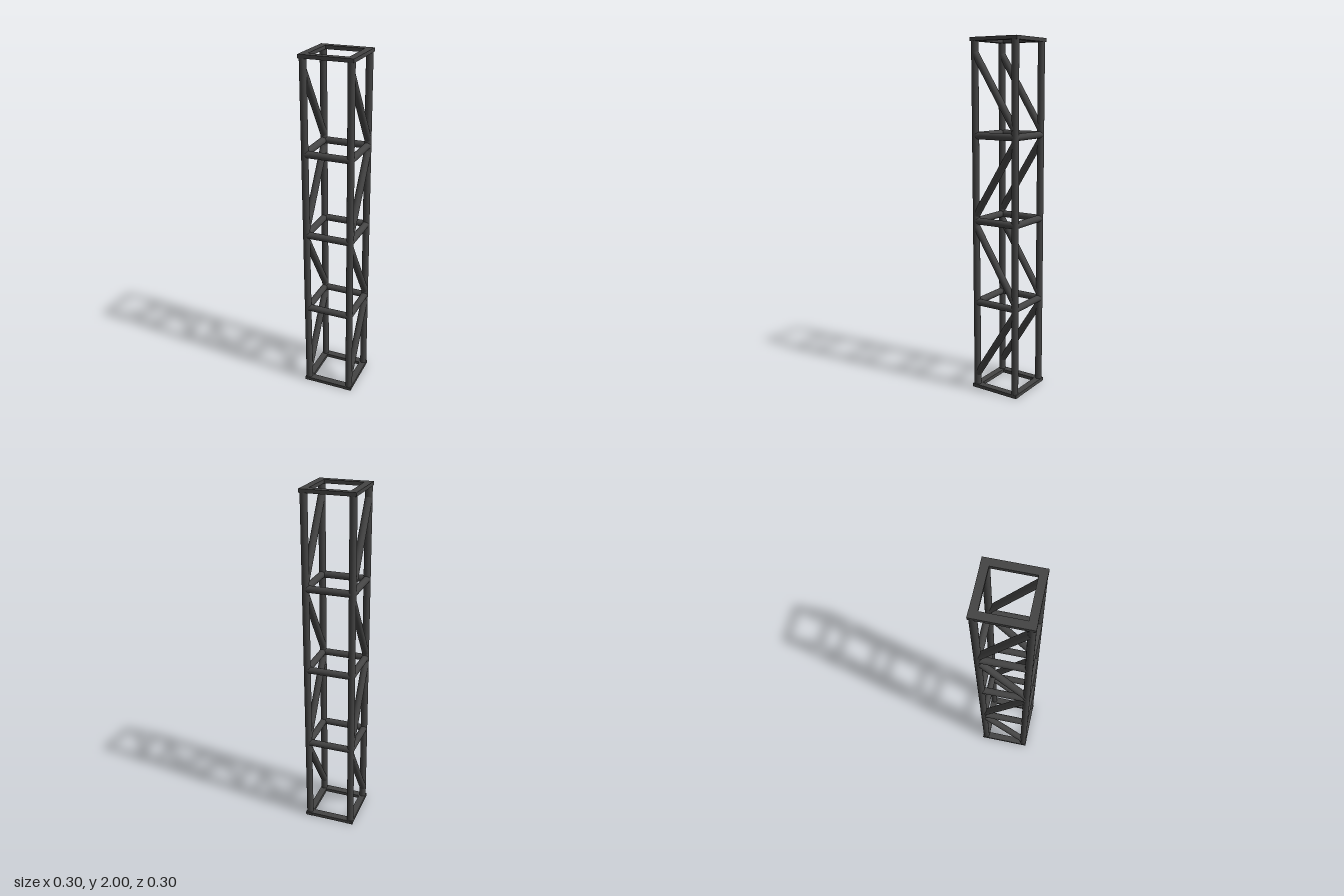
import * as THREE from 'three';

const C = 0.13;   // distance of the tube centres from the axis
const R = 0.0195; // tube radius

export function createModel() {
  const model = new THREE.Group();
  model.name = 'trussColumn';
  const metal = new THREE.MeshStandardMaterial({ color: 0x444444 });
  const up = new THREE.Vector3(0, 1, 0);

  // Round tube between two points
  function tube(name, from, to, radius = R) {
    const a = new THREE.Vector3(...from), b = new THREE.Vector3(...to);
    const dir = b.clone().sub(a);
    const mesh = new THREE.Mesh(new THREE.CylinderGeometry(radius, radius, dir.length(), 20), metal);
    mesh.position.copy(a).add(b).multiplyScalar(0.5);
    mesh.quaternion.setFromUnitVectors(up, dir.normalize());
    mesh.name = name;
    model.add(mesh);
  }

  // Flat bar
  function bar(name, size, position) {
    const mesh = new THREE.Mesh(new THREE.BoxGeometry(...size), metal);
    mesh.position.set(...position);
    mesh.name = name;
    model.add(mesh);
  }

  // Four corner chords
  for (const x of [-C, C]) for (const z of [-C, C]) {
    tube('cornerChord', [x, 0.01, z], [x, 1.99, z]);
  }

  // Flat square frames at the bottom and top
  for (const y of [0.01, 1.99]) for (const s of [-1, 1]) {
    bar('endFrameSide', [0.04, 0.02, 0.302], [s * C, y, 0]);
    bar('endFrameCross', [0.22, 0.02, 0.04], [0, y, s * C]);
  }

  // Rings of horizontal struts
  for (const y of [0.523, 1.0, 1.477]) for (const s of [-C, C]) {
    tube('crossStrut', [-C, y, s], [C, y, s]);
    tube('sideStrut', [s, y, -C], [s, y, C]);
  }

  // Zigzag diagonals on the left and right faces: [front height, back height]
  const bays = [[0.085, 0.485], [0.965, 0.56], [1.035, 1.44], [1.915, 1.515]];
  for (const x of [-C, C]) for (const [front, back] of bays) {
    tube('diagonalBrace', [x, front, 0.127], [x, back, -0.127], 0.02);
  }

  return model;
}
